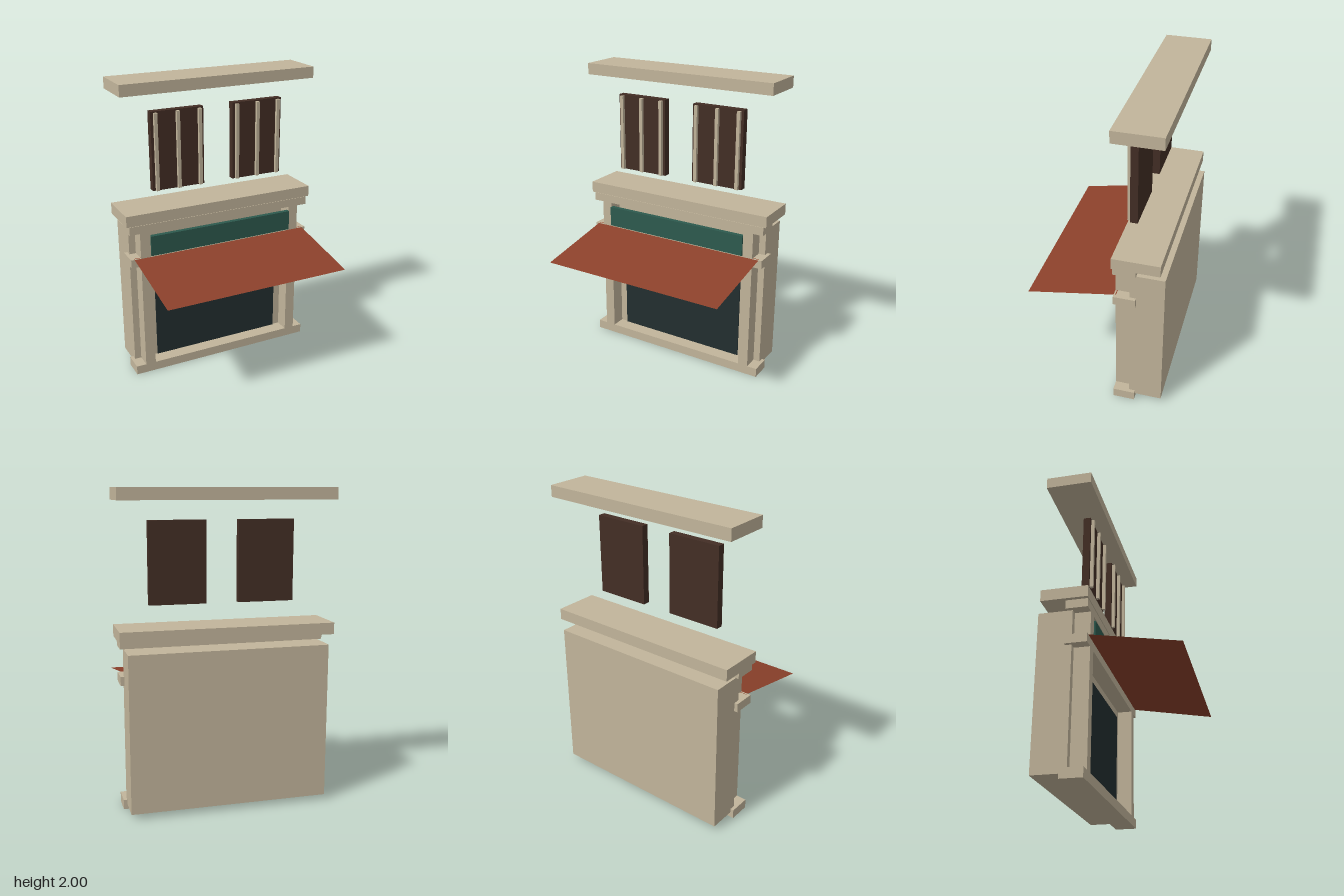
import * as THREE from 'three';

export function createModel() {
  const model = new THREE.Group();
  model.name = 'shopFront';

  const material = (name, color, side = THREE.FrontSide) => {
    const m = new THREE.MeshStandardMaterial({ color, side });
    m.name = name;
    return m;
  };
  const stone = material('sandstone', 0xc2b59b);
  const wood = material('dark wood', 0x432e25);
  const green = material('sign green', 0x2d5a4e);
  const dark = material('dark opening', 0x232f30);
  const red = material('awning red', 0x8c412b, THREE.DoubleSide);

  // Box given by its extents along each axis
  const box = (name, mat, [x0, x1], [y0, y1], [z0, z1], parent = model) => {
    const mesh = new THREE.Mesh(new THREE.BoxGeometry(x1 - x0, y1 - y0, z1 - z0), mat);
    mesh.position.set((x0 + x1) / 2, (y0 + y1) / 2, (z0 + z1) / 2);
    mesh.name = name;
    parent.add(mesh);
    return mesh;
  };

  // Wall block and the opening on its face
  box('wall', stone, [-0.632, 0.632], [0.035, 1.032], [-0.435, -0.22]);
  box('opening', dark, [-0.465, 0.465], [0.06, 0.75], [-0.22, -0.213]);

  // Horizontal mouldings
  const bandZ = [-0.26, -0.12];
  box('plinth', stone, [-0.655, 0.655], [0, 0.062], bandZ);
  box('middleLedge', stone, [-0.655, 0.655], [0.805, 0.862], bandZ);
  box('frieze', stone, [-0.655, 0.655], [1.035, 1.09], bandZ);

  // Two identical slabs: the cornice and the raised one
  for (const [name, y] of [['cornice', 1.093], ['raisedCornice', 1.926]]) {
    box(name, stone, [-0.675, 0.675], [y, y + 0.074], [-0.413, -0.117]);
  }

  for (const side of [-1, 1]) {
    const label = side < 0 ? 'right' : 'left';

    // Pilaster
    const pilaster = [0.517, 0.587].map((x) => x * side).sort((a, b) => a - b);
    box(label + 'Pilaster', stone, pilaster, [0.062, 1.035], [-0.22, -0.12]);

    // Floating panel with three upright battens
    const panel = new THREE.Group();
    panel.name = label + 'Panel';
    panel.position.x = side * 0.284;
    model.add(panel);
    box('board', wood, [-0.18, 0.18], [1.29, 1.805], [-0.222, -0.175], panel);
    for (const x of [-0.151, 0, 0.151]) {
      box('batten', stone, [x - 0.011, x + 0.011], [1.292, 1.797], [-0.176, -0.154], panel);
    }
  }

  // Blank sign board
  box('signBoard', green, [-0.517, 0.517], [0.87, 1.007], [-0.14, -0.109]);

  // Sloping awning, a single thin sheet
  const back = { y: 0.863, z: -0.135 };
  const front = { y: 0.76, z: 0.435 };
  const sheet = new THREE.PlaneGeometry(1.262, 1);
  const p = sheet.attributes.position;
  for (let i = 0; i < p.count; i++) {
    const edge = p.getY(i) > 0 ? back : front;
    p.setXYZ(i, p.getX(i), edge.y, edge.z);
  }
  sheet.computeVertexNormals();
  const awning = new THREE.Mesh(sheet, red);
  awning.name = 'awning';
  model.add(awning);

  return model;
}
